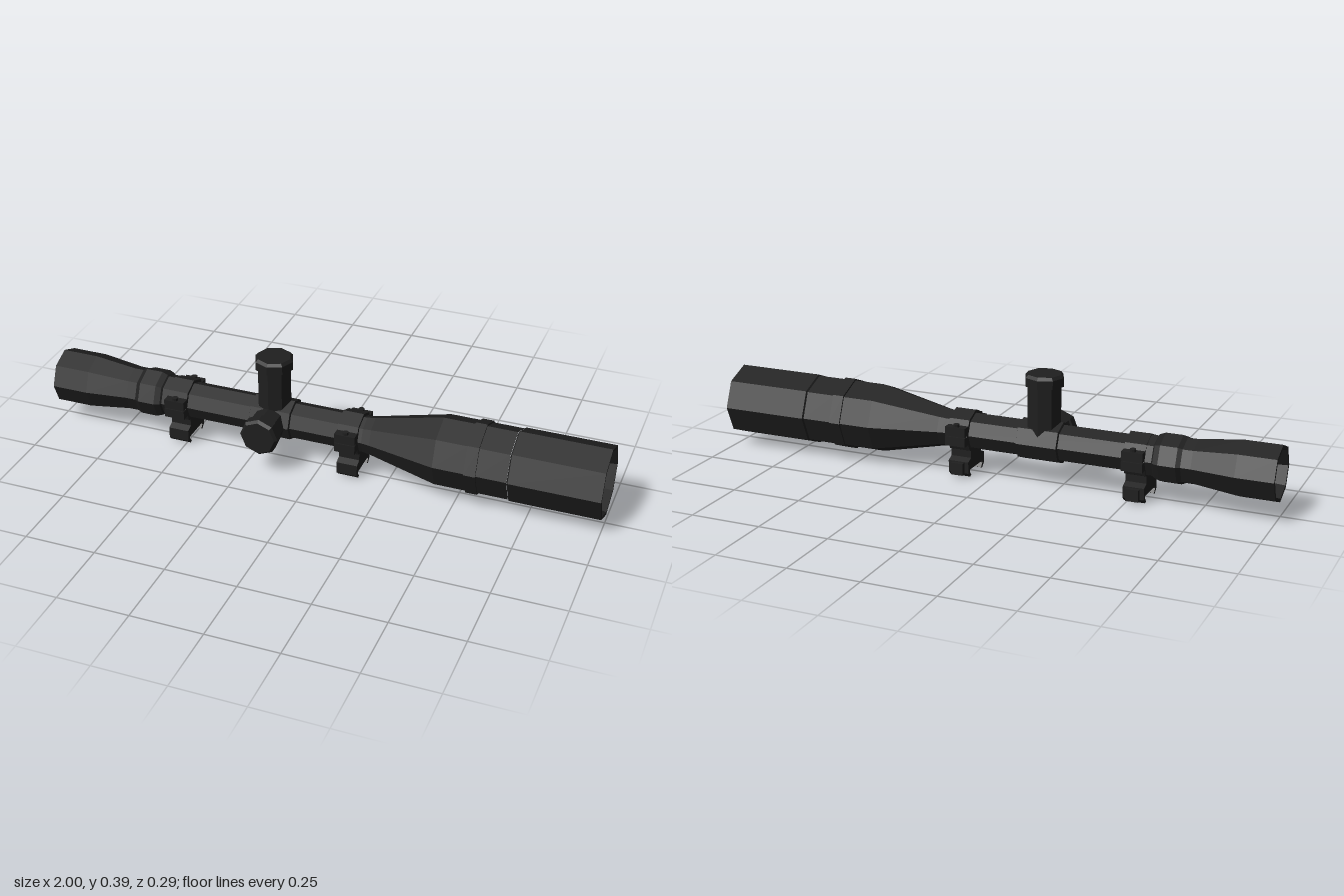
import * as THREE from 'three';

const AXIS_Y = 0.152, AXIS_Z = -0.013, TURRET_X = -0.18;

export function createModel() {
  const model = new THREE.Group();
  model.name = 'scope';
  const black = new THREE.MeshStandardMaterial({ color: 0x1f1f1f, flatShading: true });
  black.name = 'matte black';
  const glass = new THREE.MeshStandardMaterial({ color: 0x1c1c1d, flatShading: true });
  glass.name = 'dark glass';

  const add = (name, geometry, parent = model, material = black) => {
    const mesh = new THREE.Mesh(geometry, material);
    mesh.name = name;
    parent.add(mesh);
    return mesh;
  };
  // Eight-sided turned part; points are [radius, height]
  const turned = (points, sides = 8) =>
    new THREE.LatheGeometry(points.map(([r, h]) => new THREE.Vector2(r, h)), sides);
  const alongX = (points) => turned(points).rotateZ(-Math.PI / 2);

  // Everything on the optical axis
  const optics = new THREE.Group();
  optics.name = 'optics';
  optics.position.set(0, AXIS_Y, AXIS_Z);
  model.add(optics);

  add('eyepiece', alongX([
    [0.078, -0.94], [0.086, -1], [0.098, -1], [0.098, -0.87], [0.079, -0.72],
    [0.079, -0.685], [0.086, -0.67], [0.086, -0.61], [0.078, -0.59],
    [0.073, -0.585], [0.073, -0.5], [0.065, -0.5],
  ]), optics);
  add('mainTube', alongX([[0.065, -0.58], [0.065, 0.17]]), optics);
  add('objectiveBell', alongX([
    [0.065, 0.16], [0.07, 0.19], [0.124, 0.43], [0.124, 0.54], [0.13, 0.54],
    [0.13, 0.58], [0.124, 0.58], [0.124, 0.685],
  ]), optics);
  add('sunshade', alongX([
    [0.12, 0.685], [0.128, 0.69], [0.128, 1], [0.118, 1], [0.112, 0.97],
    [0.112, 0.9], [0.104, 0.88], [0.104, 0.82],
  ]), optics);
  add('eyepieceLens', alongX([[0, -0.952], [0.045, -0.948], [0.079, -0.938]]), optics, glass);
  add('objectiveLens', alongX([[0.106, 0.825], [0.06, 0.84], [0, 0.846]]), optics, glass);
  add('turretHousing', alongX([
    [0.06, -0.255], [0.073, -0.25], [0.073, -0.105], [0.06, -0.1],
  ]), optics);

  // Top turret and side knob
  const turret = add('elevationTurret', turned([
    [0.061, 0.15], [0.061, 0.35], [0.069, 0.35], [0.069, 0.38], [0.06, 0.39], [0, 0.39],
  ]));
  turret.position.set(TURRET_X, 0, AXIS_Z);
  const knob = add('sideKnob', turned([
    [0.061, 0], [0.061, 0.103], [0.069, 0.103], [0.069, 0.136], [0.06, 0.146], [0, 0.146],
  ]).rotateX(Math.PI / 2));
  knob.position.set(TURRET_X, 0.15, 0);

  // Rail clamp cross-section, [across, up], mirrored about its middle
  const half = [
    [0.042, 0.11], [0.042, 0.066], [0.066, 0.056], [0.066, 0.015], [0.05, 0],
    [0.041, 0.004], [0.053, 0.018], [0.053, 0.026],
  ];
  const outline = [...half, ...half.map(([a, b]) => [-a, b]).reverse()];
  const clampShape = new THREE.Shape(outline.map(([a, b]) => new THREE.Vector2(a, b)));
  const WIDTH = 0.074;

  for (const x of [-0.525, 0.11]) {
    const mount = new THREE.Group();
    mount.name = 'ringMount';
    mount.position.set(x, 0, AXIS_Z);
    model.add(mount);

    const w = WIDTH / 2;
    const ring = add('ring', alongX([
      [0.06, -w], [0.077, -w], [0.077, w], [0.06, w],
    ]), mount);
    ring.position.y = AXIS_Y - 0.001;

    const clamp = new THREE.ExtrudeGeometry(clampShape, { depth: WIDTH, bevelEnabled: false });
    clamp.translate(0, 0, -w).rotateY(Math.PI / 2);
    add('railClamp', clamp, mount);

    // Split flanges with their screws on both sides
    for (const side of [-1, 1]) {
      for (const y of [0.135, 0.17]) {
        add('flange', new THREE.BoxGeometry(WIDTH, 0.032, 0.04), mount)
          .position.set(0, y, side * 0.074);
      }
      add('flangeScrew', new THREE.CylinderGeometry(0.011, 0.011, 0.012, 8), mount)
        .position.set(0, 0.19, side * 0.081);
    }
    // Clamp nut on the back
    add('clampPlate', new THREE.BoxGeometry(0.044, 0.042, 0.018), mount)
      .position.set(0, 0.032, -0.073);
  }
  return model;
}
